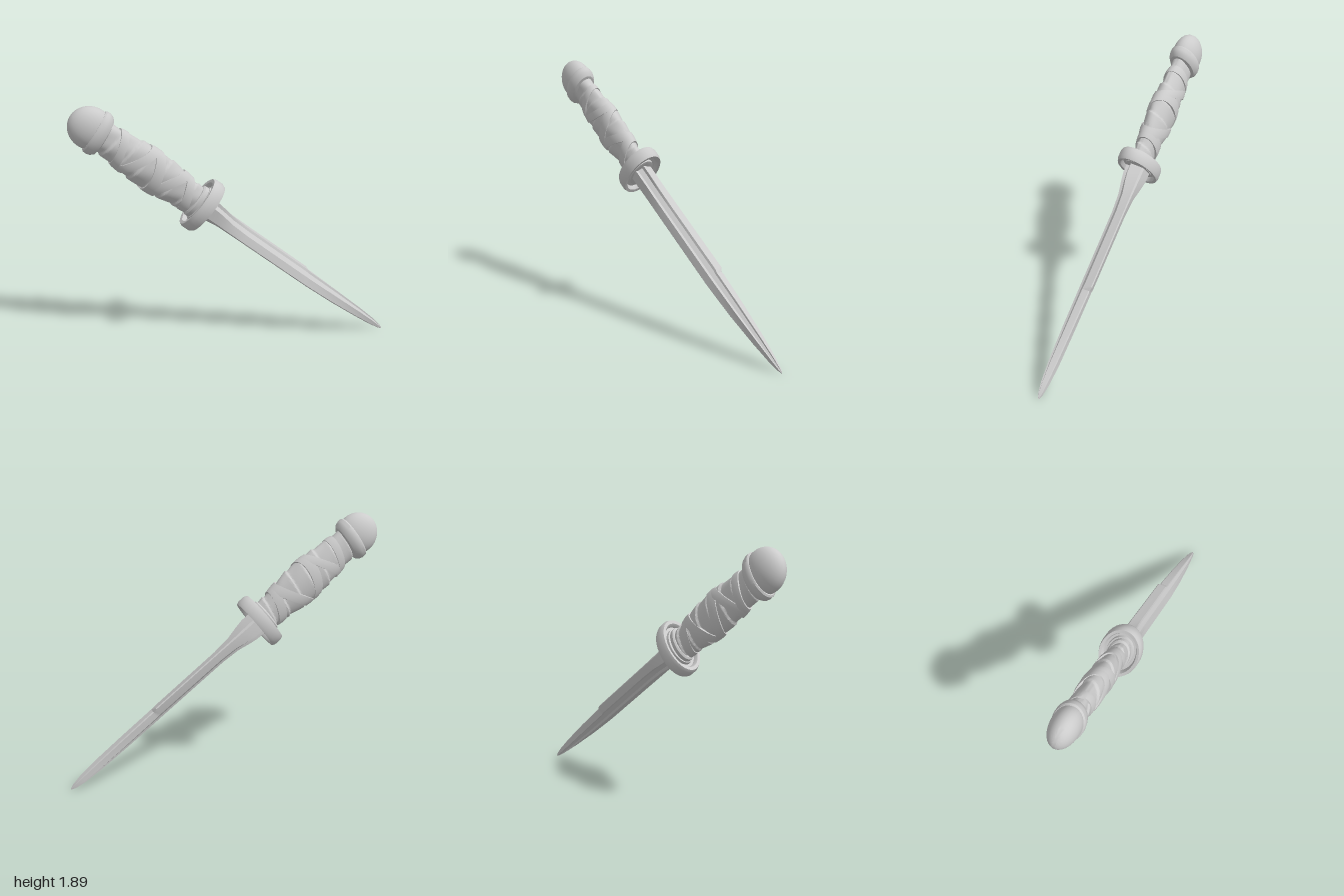
import * as THREE from 'three';
import { toCreasedNormals } from 'three/addons/utils/BufferGeometryUtils.js';

const material = new THREE.MeshStandardMaterial({ color: 0xcccccc });

// Skins a stack of equal-length rings; ends are closed with fans unless capped is false
function loft(name, rings, crease = 0.6, capped = true) {
  const n = rings[0].length;
  const pos = rings.flat().flatMap((p) => [p.x, p.y, p.z]);
  const index = [];
  for (let i = 0; i < rings.length - 1; i++) {
    for (let j = 0; j < n; j++) {
      const k = (j + 1) % n;
      const a = i * n + j, b = i * n + k, c = a + n, d = b + n;
      index.push(a, b, d, a, d, c);
    }
  }
  if (capped) {
    const top = (rings.length - 1) * n;
    for (let j = 1; j < n - 1; j++) {
      index.push(0, j + 1, j, top, top + j, top + j + 1);
    }
  }
  const geo = new THREE.BufferGeometry();
  geo.setAttribute('position', new THREE.Float32BufferAttribute(pos, 3));
  geo.setIndex(index);
  const mesh = new THREE.Mesh(toCreasedNormals(geo, crease), material);
  mesh.name = name;
  return mesh;
}

// Oval ring around the y axis; rx, rz and y may be functions of the angle
const val = (f, t) => (typeof f === 'function' ? f(t) : f);
function oval(y, rx, rz, sides = 40) {
  return Array.from({ length: sides }, (_, j) => {
    const t = (j / sides) * Math.PI * 2;
    return new THREE.Vector3(val(rx, t) * Math.cos(t), val(y, t), -val(rz, t) * Math.sin(t));
  });
}

// Grip half width and half depth along the handle
const gripCurve = new THREE.SplineCurve([
  [0.90, 0.105], [1.0, 0.115], [1.12, 0.138], [1.3, 0.146],
  [1.48, 0.138], [1.62, 0.118], [1.8, 0.108],
].map(([y, r]) => new THREE.Vector2(y, r)));
const gripWidth = (y) => gripCurve.getPoint(THREE.MathUtils.clamp((y - 0.9) / 0.9, 0, 1)).y;
const gripDepth = (y) => 0.6 * gripWidth(y) - 0.002;

function makeBlade() {
  // height, back half width, notched-side half width, half thickness
  const stations = [
    [-0.915, 0.003, 0.003, 0.003], [-0.88, 0.016, 0.014, 0.016], [-0.8, 0.029, 0.026, 0.028],
    [-0.65, 0.046, 0.04, 0.036], [-0.4, 0.066, 0.054, 0.038], [-0.13, 0.077, 0.064, 0.038],
    [-0.11, 0.077, 0.061, 0.038], [-0.08, 0.077, 0.078, 0.038], [0.5, 0.078, 0.078, 0.04],
    [0.64, 0.078, 0.078, 0.05], [0.74, 0.078, 0.078, 0.072], [0.8, 0.08, 0.08, 0.082], [0.9, 0.08, 0.08, 0.085],
  ];
  // Bevelled section with a shallow groove down each face
  const half = [[1, 0.12], [0.42, 1], [0.22, 0.78], [-0.22, 0.78], [-0.42, 1], [-1, 0.12]];
  const section = [...half, ...half.map(([a, b]) => [-a, -b])];
  const blade = loft('blade', stations.map(([y, back, front, thick]) =>
    section.map(([a, b]) => new THREE.Vector3(a * (a > 0 ? front : back), y, -b * thick))), 0.35);
  blade.rotation.y = THREE.MathUtils.degToRad(55);
  return blade;
}

function makeGuard() {
  const guard = new THREE.Group();
  guard.name = 'guard';
  // Rounded oval rim, closed on itself
  const rim = [[0.855, 0.83], [0.852, 0.95], [0.875, 1], [0.925, 1], [0.948, 0.95], [0.945, 0.83], [0.92, 0.76], [0.88, 0.76], [0.855, 0.83]];
  guard.add(loft('guardRim', rim.map(([y, k]) => oval(y, 0.21 * k, 0.148 * k)), 0.6, false));
  // Recessed plate with a raised step
  const plate = [[0.868, 0.52], [0.87, 0.6], [0.885, 0.62], [0.885, 0.8], [0.915, 0.8], [0.915, 0.66], [0.935, 0.64], [0.938, 0.55]];
  guard.add(loft('guardPlate', plate.map(([y, k]) => oval(y, 0.21 * k, 0.148 * k))));
  return guard;
}

function makeHandle() {
  const handle = new THREE.Group();
  handle.name = 'handle';
  // Core with a stepped spiral, like overlapping turns of a strap
  const rings = [];
  for (let i = 0; i <= 130; i++) {
    const y = 0.91 + (i / 130) * 0.88;
    const lift = (t) => {
      const turn = (y - 0.91) / 0.125 + t / (Math.PI * 2);
      const f = turn - Math.floor(turn);
      return 0.013 * Math.min(f, (1 - f) * 8) - 0.006 + 0.002 * Math.sin(5 * t + 21 * y);
    };
    rings.push(oval(y, (t) => gripWidth(y) + lift(t), (t) => gripDepth(y) + lift(t), 48));
  }
  handle.add(loft('wrappedGrip', rings, 0.7));
  // Slanted straps crossing the spiral: height, slant, direction, width
  const straps = [[1.06, 0.05, 0.4, 0.07], [1.2, -0.08, 0.2, 0.08], [1.36, 0.07, 0.9, 0.08], [1.5, -0.08, -0.3, 0.07], [1.63, 0.04, 0.5, 0.06]];
  for (const [y0, slant, turn, w] of straps) {
    const band = [[-0.5, -0.01], [-0.48, 0.01], [0, 0.012], [0.48, 0.008], [0.5, -0.01]].map(([k, out]) => {
      const y = (t) => y0 + k * w + slant * Math.cos(t - turn);
      return oval(y, (t) => gripWidth(y(t)) + out, (t) => gripDepth(y(t)) + out, 48);
    });
    handle.add(loft('strap', band, 0.6, false));
  }
  // Narrow ferrule where the grip meets the guard
  handle.add(loft('ferrule', [[0.92, 0.12], [0.93, 0.128], [0.965, 0.128], [0.975, 0.115]].map(([y, r]) => oval(y, r, r * 0.64))));
  return handle;
}

function makePommel() {
  const pommel = new THREE.Group();
  pommel.name = 'pommel';
  // Slightly slanted flared collar
  const collar = [[1.745, 0.105], [1.752, 0.135], [1.775, 0.156], [1.8, 0.163], [1.825, 0.162], [1.835, 0.152], [1.835, 0.12]];
  pommel.add(loft('pommelCollar', collar.map(([y, r]) =>
    oval((t) => y + 0.012 * Math.cos(t), r, r * 0.66))));
  // Domed end
  const dome = [];
  for (let i = 0; i <= 12; i++) {
    const a = -0.5 + (i / 12) * (Math.PI / 2 + 0.49);
    dome.push(oval(1.865 + 0.155 * Math.sin(a), 0.15 * Math.cos(a), 0.098 * Math.cos(a), 32));
  }
  pommel.add(loft('pommelDome', dome, 0.8));
  return pommel;
}

export function createModel() {
  const model = new THREE.Group();
  model.name = 'dagger';
  // Tilted frame: the y axis of the dagger runs from tip to pommel
  const along = new THREE.Vector3(-0.667, 0.624, 0.407).normalize();
  const across = new THREE.Vector3(0.683, 0.73, 0).normalize();
  across.addScaledVector(along, -across.dot(along)).normalize();
  const depth = new THREE.Vector3().crossVectors(across, along);
  const dagger = new THREE.Group();
  dagger.name = 'tiltedDagger';
  dagger.quaternion.setFromRotationMatrix(new THREE.Matrix4().makeBasis(across, along, depth));
  dagger.rotateY(THREE.MathUtils.degToRad(15));
  dagger.position.set(0.391, 0.578, -0.245);
  dagger.add(makeBlade(), makeGuard(), makeHandle(), makePommel());
  model.add(dagger);
  return model;
}
